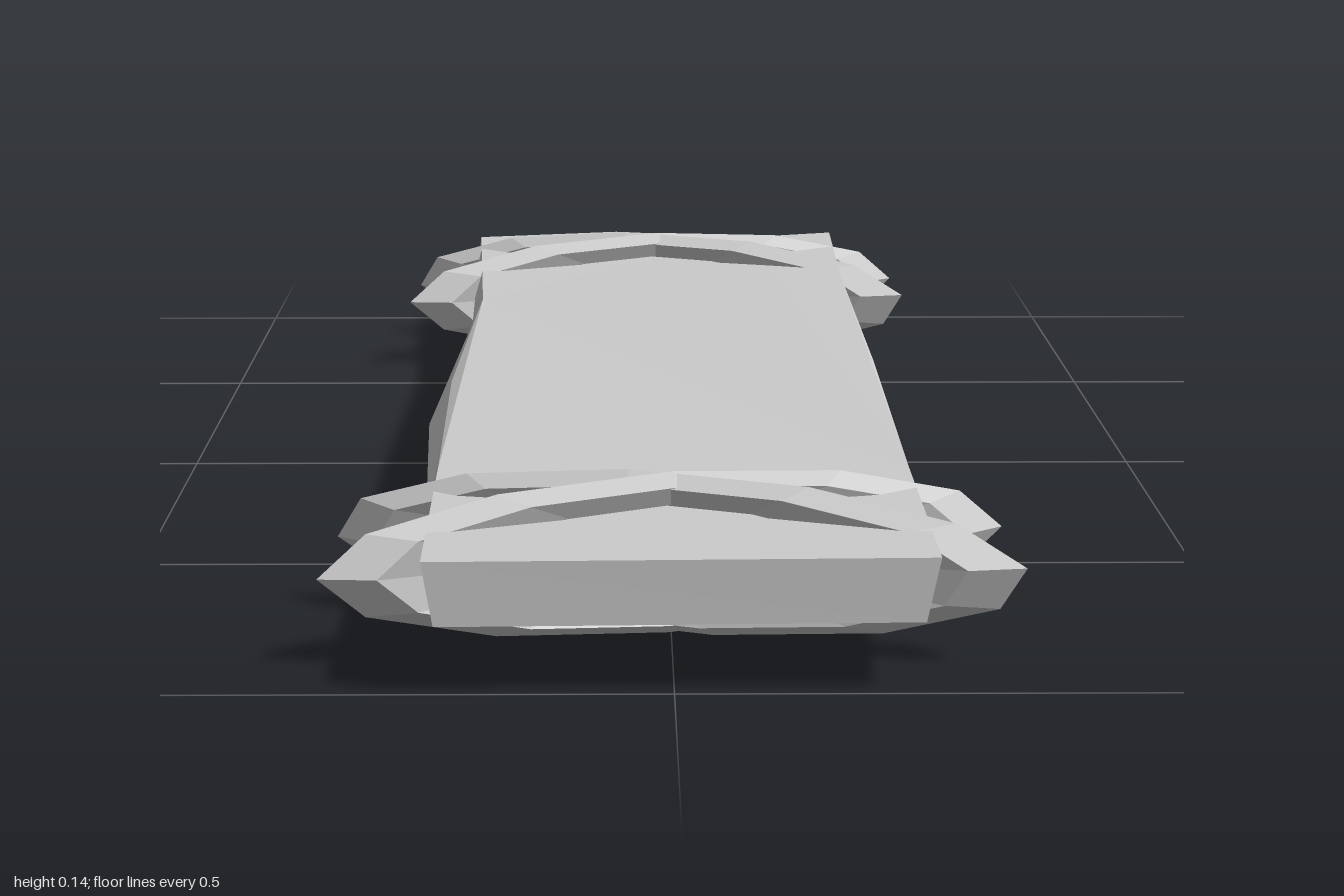
import * as THREE from 'three';

const material = new THREE.MeshStandardMaterial({ color: 0xcccccc, flatShading: true });

// Plank outline, clockwise seen from above: [top x, bottom x, z, top y]
const outline = [
  [-0.21, -0.2, 1, 0.115],
  [-0.213, -0.225, 0.6, 0.115],
  [-0.222, -0.246, 0.08, 0.106],
  [-0.207, -0.222, -0.45, 0.112],
  [-0.226, -0.226, -0.95, 0.117],
  [-0.05, -0.05, -1, 0.117],
  [0.12, 0.12, -0.945, 0.117],
  [0.23, 0.23, -0.99, 0.117],
  [0.224, 0.228, -0.6, 0.117],
  [0.226, 0.232, 0, 0.115],
  [0.222, 0.226, 0.6, 0.115],
  [0.222, 0.21, 0.987, 0.115],
];

function plankGeometry() {
  const bottomY = 0.06;
  const n = outline.length;
  const positions = [];
  outline.forEach(([x, , z, y]) => positions.push(x, y, z));
  outline.forEach(([, x, z]) => positions.push(x, bottomY, z));

  const index = [];
  // caps
  const contour = outline.map(([x, , z]) => new THREE.Vector2(x, -z));
  for (const [a, b, c] of THREE.ShapeUtils.triangulateShape(contour, [])) {
    const pa = contour[a], pb = contour[b], pc = contour[c];
    const up = (pb.x - pa.x) * (pc.y - pa.y) - (pb.y - pa.y) * (pc.x - pa.x) > 0;
    const [i, j, k] = up ? [a, b, c] : [a, c, b];
    index.push(i, j, k, n + i, n + k, n + j);
  }
  // edges
  for (let i = 0; i < n; i++) {
    const j = (i + 1) % n;
    index.push(i, j, n + i, j, n + j, n + i);
  }
  const geometry = new THREE.BufferGeometry();
  geometry.setAttribute('position', new THREE.Float32BufferAttribute(positions, 3));
  geometry.setIndex(index);
  const flat = geometry.toNonIndexed();
  flat.computeVertexNormals();
  return flat;
}

// Flattened faceted loop wrapped diagonally round the plank
function lashing(name, z, yaw, phase, tilt) {
  let geometry = new THREE.TorusGeometry(1, 0.26, 5, 12);
  geometry.rotateZ(phase);
  geometry.scale(0.26, 0.0575, 0.085);
  geometry.rotateZ(tilt);
  geometry.rotateY(yaw);
  geometry = geometry.toNonIndexed();
  geometry.computeVertexNormals();
  const mesh = new THREE.Mesh(geometry, material);
  mesh.name = name;
  mesh.position.set(0, 0.075, z);
  return mesh;
}

export function createModel() {
  const model = new THREE.Group();
  model.name = 'lashedPlank';

  const plank = new THREE.Mesh(plankGeometry(), material);
  plank.name = 'plank';
  model.add(plank);

  // A crossed pair of rope loops near each end
  for (const [end, z] of [['front', 0.78], ['back', -0.765]]) {
    const pair = new THREE.Group();
    pair.name = end + 'Lashing';
    pair.add(lashing(end + 'RopeA', z, 0.39, 0, -0.012));
    pair.add(lashing(end + 'RopeB', z, -0.38, 0.12, 0.008));
    model.add(pair);
  }
  return model;
}
